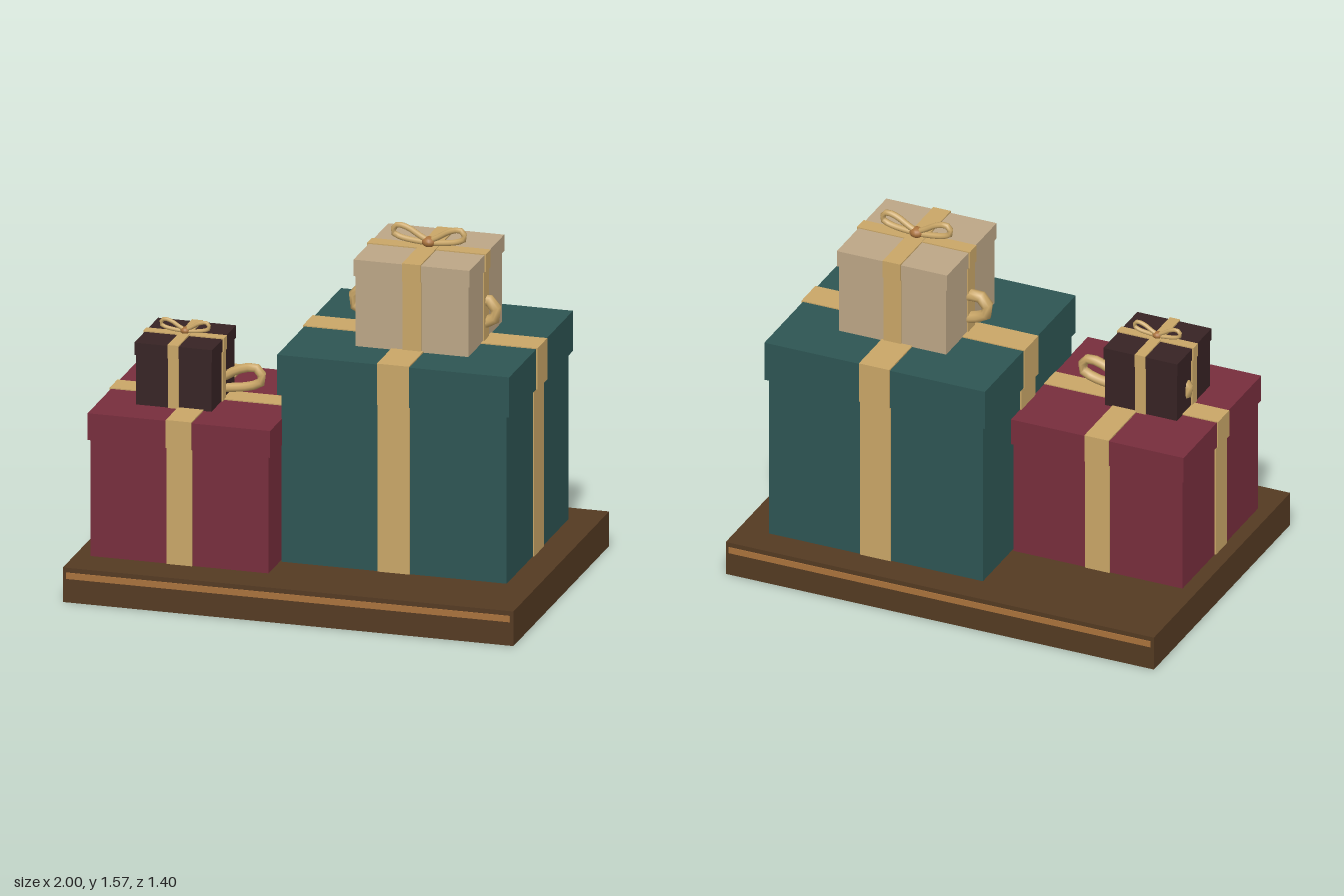
import * as THREE from 'three';

const paint = (name, color) => {
  const m = new THREE.MeshStandardMaterial({ color });
  m.name = name;
  return m;
};

export function createModel() {
  const wood = paint('dark wood', 0x543a22);
  const copper = paint('copper', 0xa9723c);
  const gold = paint('gold ribbon', 0xc9a667);
  const teal = paint('teal paper', 0x2d5553);
  const red = paint('wine paper', 0x772d3c);
  const cream = paint('tan paper', 0xbca686);
  const dark = paint('dark plum paper', 0x372324);

  const add = (parent, name, geometry, material, x = 0, y = 0, z = 0) => {
    const mesh = new THREE.Mesh(geometry, material);
    mesh.name = name;
    mesh.position.set(x, y, z);
    parent.add(mesh);
    return mesh;
  };
  // box standing on height y
  const block = (parent, name, material, w, h, d, x, y, z) =>
    add(parent, name, new THREE.BoxGeometry(w, h, d), material, x, y + h / 2, z);

  // one bow loop in units of the lid width
  const loopCurve = new THREE.CatmullRomCurve3([
    [0, 0.045], [0.13, 0.048], [0.26, 0.072], [0.306, 0.1],
    [0.304, 0.138], [0.272, 0.17], [0.18, 0.153], [0.09, 0.1],
  ].map(([x, y]) => new THREE.Vector3(x, y, 0)), true);

  function bow(size) {
    const group = new THREE.Group();
    group.name = 'bow';
    for (const side of [0, Math.PI]) {
      const loop = add(group, 'bowLoop', new THREE.TubeGeometry(loopCurve, 16, 0.025, 8, true), gold);
      loop.rotation.y = side;
      loop.scale.z = 1.2;
    }
    const knot = add(group, 'bowKnot', new THREE.SphereGeometry(0.06, 14, 10), copper, 0, 0.047, 0);
    knot.scale.y = 0.75;
    group.scale.setScalar(size);
    return group;
  }

  // wrapped box: body, lid, crossed ribbon and bow
  function gift(name, paper, { x, y, z, body, lid, bodyH, lidH, ribbon }) {
    const group = new THREE.Group();
    group.name = name;
    group.position.set(x, y, z);
    const top = bodyH + lidH, t = 0.006;
    block(group, 'body', paper, body[0], bodyH, body[1], 0, 0, 0);
    block(group, 'lid', paper, lid[0], lidH, lid[1], 0, bodyH, 0);
    for (const s of [1, -1]) {
      block(group, 'bodyRibbon', gold, ribbon[0], bodyH, t, 0, 0, s * (body[1] + t) / 2);
      block(group, 'bodyRibbon', gold, t, bodyH, ribbon[1], s * (body[0] + t) / 2, 0, 0);
      block(group, 'lidRibbon', gold, ribbon[0], lidH, t, 0, bodyH, s * (lid[1] + t) / 2);
      block(group, 'lidRibbon', gold, t, lidH, ribbon[1], s * (lid[0] + t) / 2, bodyH, 0);
    }
    block(group, 'topRibbon', gold, ribbon[0], t, lid[1] + 2 * t, 0, top, 0);
    block(group, 'topRibbon', gold, lid[0] + 2 * t, t * 0.8, ribbon[1], 0, top, 0);
    const b = bow(lid[0]);
    b.position.y = top;
    group.add(b);
    return group;
  }

  const model = new THREE.Group();
  model.name = 'giftStack';

  // plinth with a trim strip on front and back
  block(model, 'base', wood, 2, 0.155, 1.388, 0, 0, 0);
  for (const s of [1, -1]) {
    block(model, 'baseTrim', copper, 1.97, 0.028, 0.005, 0, 0.106, s * 0.6955);
  }

  model.add(
    gift('largeGift', teal, {
      x: 0.365, y: 0.155, z: -0.1, body: [1, 0.9], lid: [1.03, 0.925],
      bodyH: 0.75, lidH: 0.18, ribbon: [0.142, 0.142],
    }),
    gift('mediumGift', red, {
      x: -0.537, y: 0.155, z: 0.13, body: [0.79, 0.77], lid: [0.81, 0.79],
      bodyH: 0.522, lidH: 0.12, ribbon: [0.113, 0.113],
    }),
    gift('smallGift', cream, {
      x: 0.385, y: 1.085, z: -0.09, body: [0.5, 0.49], lid: [0.515, 0.504],
      bodyH: 0.315, lidH: 0.074, ribbon: [0.082, 0.068],
    }),
    gift('tinyGift', dark, {
      x: -0.613, y: 0.797, z: 0.185, body: [0.336, 0.336], lid: [0.346, 0.346],
      bodyH: 0.223, lidH: 0.055, ribbon: [0.048, 0.046],
    }),
  );
  return model;
}
